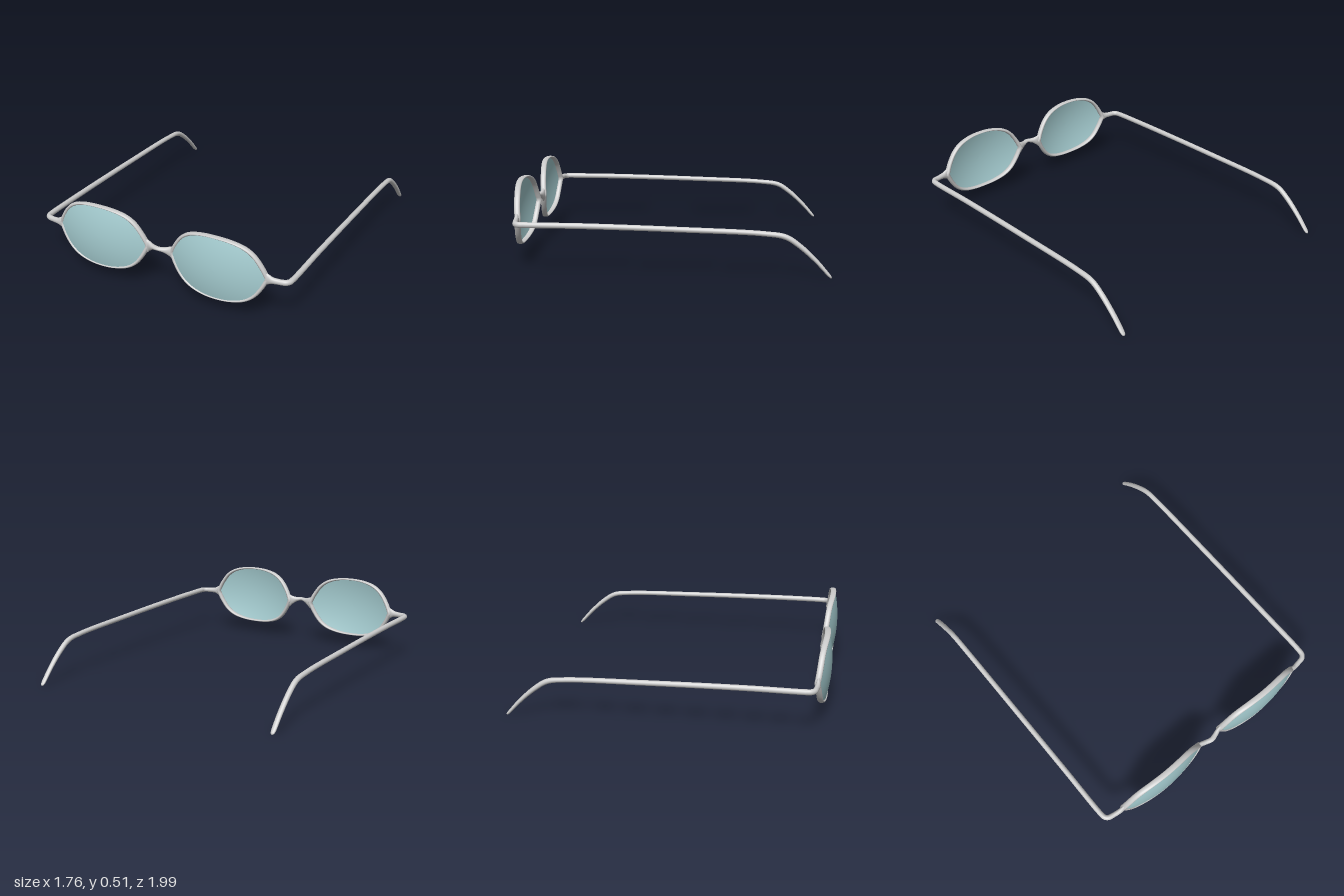
import * as THREE from 'three';

const SIDES = 16;
const LENS_X = 0.408, LENS_Y = 0.3;
const frameMat = new THREE.MeshStandardMaterial({ color: 0xcccccc });
const lensMat = new THREE.MeshStandardMaterial({ color: 0xa8d0d4, side: THREE.DoubleSide });

// Skin a list of equal-length point rings
function loft(rings, closed = false) {
  const n = rings[0].length, index = [];
  const last = closed ? rings.length : rings.length - 1;
  for (let i = 0; i < last; i++) {
    for (let j = 0; j < n; j++) {
      const i2 = (i + 1) % rings.length, j2 = (j + 1) % n;
      const a = i * n + j, b = i * n + j2, c = i2 * n + j2, d = i2 * n + j;
      index.push(a, b, c, a, c, d);
    }
  }
  const geo = new THREE.BufferGeometry().setFromPoints(rings.flat());
  geo.setIndex(index);
  geo.computeVertexNormals();
  return geo;
}

function ellipse(center, u, v) {
  return Array.from({ length: SIDES }, (_, k) => {
    const a = (k / SIDES) * Math.PI * 2;
    return center.clone().addScaledVector(u, Math.cos(a)).addScaledVector(v, Math.sin(a));
  });
}

// Sweep an oval along rows of [x, y, z, halfHeight, halfWidth]
function sweep(rows, steps) {
  const path = new THREE.CatmullRomCurve3(rows.map(r => new THREE.Vector3(r[0], r[1], r[2])));
  const size = new THREE.CatmullRomCurve3(rows.map(r => new THREE.Vector3(r[3], r[4], 0)), false, 'catmullrom', 0.4);
  const rings = [];
  for (let i = 0; i <= steps; i++) {
    const t = path.getTangent(i / steps), s = size.getPoint(i / steps);
    const up = new THREE.Vector3(0, 1, 0).addScaledVector(t, -t.y).normalize();
    const across = t.clone().cross(up);
    rings.push(ellipse(path.getPoint(i / steps), up.multiplyScalar(s.x), across.multiplyScalar(s.y)));
  }
  return loft(rings);
}

// Full outline from one quadrant (side tip to top), counterclockwise, sharp at the tips
function outline(quadrant, steps = 40) {
  const right = quadrant.map(([x, y]) => new THREE.Vector3(x, y, 0));
  const left = quadrant.slice(0, -1).reverse().map(([x, y]) => new THREE.Vector3(-x, y, 0));
  const curve = new THREE.CatmullRomCurve3([...right, ...left]);
  const top = Array.from({ length: steps }, (_, i) => curve.getPoint(i / steps));
  return [...top, ...top.map(p => p.clone().negate())];
}

const inner = outline([[0.306, 0], [0.275, 0.065], [0.228, 0.13], [0.172, 0.168], [0.09, 0.193], [0, 0.2]]);
const outer = outline([[0.338, 0], [0.328, 0.04], [0.292, 0.085], [0.19, 0.183], [0.1, 0.206], [0, 0.212]]
  .map((p, i) => (i === 2 ? [0.25, 0.142] : i === 1 ? [0.302, 0.072] : p)));
const middle = inner.map((p, i) => p.clone().lerp(outer[i], 0.5));
const domeZ = p => 0.995 - 0.6 * (p.x * p.x + p.y * p.y);

function rimGeometry() {
  return loft(middle.map((m, i) => {
    const center = new THREE.Vector3(m.x, m.y, domeZ(m) - 0.011);
    const out = outer[i].clone().sub(inner[i]).multiplyScalar(0.5);
    return ellipse(center, out, new THREE.Vector3(0, 0, -0.019));
  }), true);
}

function lensGeometry() {
  const rings = [];
  for (let k = 12; k >= 0; k--) {
    rings.push(middle.map(m => {
      const p = m.clone().multiplyScalar(k / 12);
      return p.setZ(domeZ(p));
    }));
  }
  return loft(rings);
}

// End piece, hinge corner, arm and drooping ear tip in one run
const templeRows = [
  [0.722, 0.3, 0.927, 0.042, 0.014], [0.74, 0.3, 0.927, 0.032, 0.015],
  [0.765, 0.299, 0.926, 0.021, 0.016], [0.8, 0.298, 0.921, 0.018, 0.016],
  [0.84, 0.298, 0.912, 0.018, 0.017], [0.858, 0.298, 0.893, 0.018, 0.017],
  [0.863, 0.298, 0.86, 0.018, 0.017], [0.863, 0.297, 0.5, 0.018, 0.017],
  [0.863, 0.285, -0.1, 0.017, 0.017], [0.863, 0.268, -0.6, 0.016, 0.017],
  [0.863, 0.25, -0.72, 0.017, 0.017], [0.863, 0.2, -0.8, 0.016, 0.017],
  [0.863, 0.11, -0.9, 0.013, 0.017], [0.863, 0.026, -0.976, 0.01, 0.016],
  [0.863, 0.009, -0.992, 0.007, 0.011], [0.863, 0.003, -0.998, 0, 0],
];

const bridgeRows = [
  [0.096, 0.301, 0.926, 0.05, 0.014], [0.076, 0.304, 0.927, 0.035, 0.015],
  [0.038, 0.31, 0.94, 0.017, 0.016], [0, 0.315, 0.95, 0.012, 0.017],
];

export function createModel() {
  const model = new THREE.Group();
  model.name = 'eyeglasses';
  const add = (name, geo, mat, x = 0, y = 0) => {
    const mesh = new THREE.Mesh(geo, mat);
    mesh.name = name;
    mesh.position.set(x, y, 0);
    model.add(mesh);
  };

  const rim = rimGeometry(), lens = lensGeometry();
  for (const [side, s] of [['left', 1], ['right', -1]]) {
    add(side + 'Rim', rim, frameMat, s * LENS_X, LENS_Y);
    add(side + 'Lens', lens, lensMat, s * LENS_X, LENS_Y);
    add(side + 'Temple', sweep(templeRows.map(([x, ...rest]) => [s * x, ...rest]), 120), frameMat);
  }

  // Nose bridge, mirrored about the centre
  const mirrored = bridgeRows.slice(0, -1).map(([x, ...rest]) => [-x, ...rest]);
  add('bridge', sweep([...mirrored, ...bridgeRows.slice().reverse()], 36), frameMat);
  return model;
}
